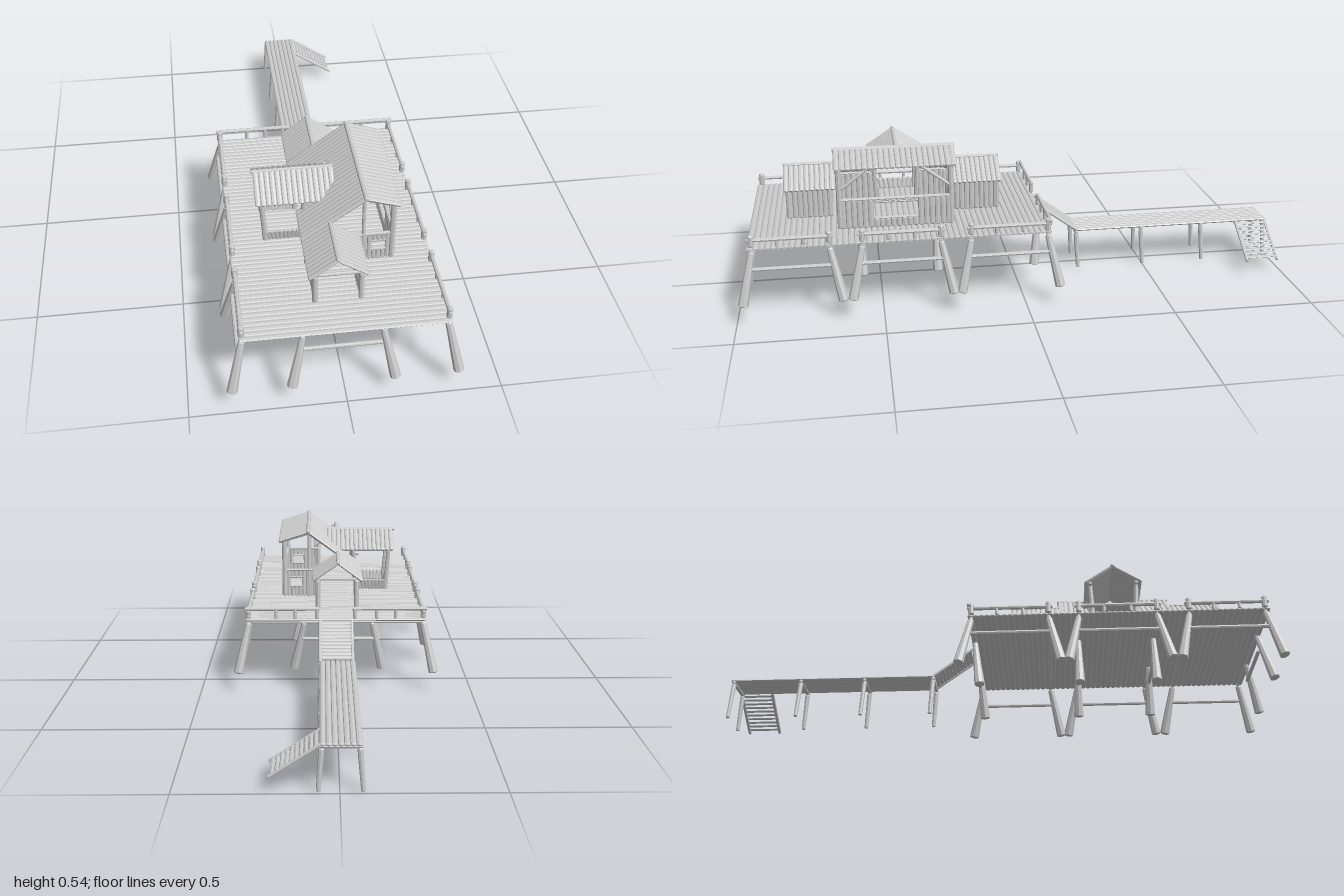
import * as THREE from 'three';
import { mergeGeometries } from 'three/addons/utils/BufferGeometryUtils.js';

const V = (x, y, z) => new THREE.Vector3(x, y, z);
const material = new THREE.MeshStandardMaterial({ color: 0xcccccc, flatShading: true });

// One log from a to b with bevelled ends; `side` and `flat` turn it into a half-round plank
function log(a, b, r0, r1 = r0, side = null, flat = 1) {
  const d = b.clone().sub(a), len = d.length(), tip = Math.min(r0, r1) * 0.35;
  const g = new THREE.LatheGeometry([
    new THREE.Vector2(0, 0), new THREE.Vector2(r0 * 0.7, tip * 0.6), new THREE.Vector2(r0, tip * 1.4),
    new THREE.Vector2(r1, len - tip * 1.4), new THREE.Vector2(r1 * 0.7, len), new THREE.Vector2(0, len),
  ], 8);
  g.scale(1, 1, flat);
  d.normalize();
  const s = side ? side.clone() : (Math.abs(d.y) > 0.9 ? V(1, 0, 0) : V(0, 1, 0));
  const n = s.cross(d).normalize();
  const x = d.clone().cross(n);
  g.applyMatrix4(new THREE.Matrix4().makeBasis(x, d, n).setPosition(a));
  return g;
}

// A row of n planks lying along u, laid side by side from p across v
function planks(p, u, v, n, flat = 0.6) {
  const out = [];
  for (let i = 0; i < n; i++) {
    const a = p.clone().addScaledVector(v, (i + 0.5) / n);
    out.push(log(a, a.clone().add(u), v.length() / n * 0.53, undefined, v, flat));
  }
  return out;
}

// Upright plank wall from a to b (at floor level); win = [start, end, sill, head]
function wall(a, b, top, n, win) {
  const out = [], d = b.clone().sub(a), step = d.clone().divideScalar(n);
  for (let i = 0; i < n; i++) {
    const p = a.clone().addScaledVector(step, i), t = (i + 0.5) / n;
    const spans = win && t > win[0] && t < win[1] ? [[a.y, win[2]], [win[3], top]] : [[a.y, top]];
    for (const [y0, y1] of spans) out.push(...planks(V(p.x, y0, p.z), V(0, y1 - y0, 0), step, 1));
  }
  out.push(log(V(a.x, top, a.z), V(b.x, top, b.z), 0.006));
  if (win) for (const y of [win[2], win[3]])
    out.push(log(a.clone().lerp(b, win[0]).setY(y), a.clone().lerp(b, win[1]).setY(y), 0.005));
  return out;
}

export function createModel() {
  const model = new THREE.Group();
  const part = (name, list) => {
    const mesh = new THREE.Mesh(mergeGeometries(list), material);
    mesh.name = name;
    model.add(mesh);
  };
  const F = 0.265; // floor level

  // Main platform and its joists
  part('deck', planks(V(-0.332, 0.261, -0.092), V(0.664, 0, 0), V(0, 0, 1.044), 52, 0.5));
  const bays = [[-0.08, 0.19], [0.295, 0.565], [0.675, 0.935]];
  const legs = [], braces = [], rails = [], joists = [];
  for (const bay of bays) {
    bay.forEach((z, i) => {
      const out = i ? 0.04 : -0.04;
      joists.push(log(V(-0.33, 0.252, z), V(0.33, 0.252, z), 0.006));
      for (const s of [-1, 1])
        legs.push(log(V(s * 0.362, 0.064, z + out), V(s * 0.322, 0.25, z), 0.018, 0.011));
    });
    for (const s of [-1, 1]) {
      braces.push(log(V(s * 0.335, 0.19, bay[0] - 0.015), V(s * 0.335, 0.19, bay[1] + 0.015), 0.007));
      // Side railings
      rails.push(log(V(s * 0.323, 0.292, bay[0] - 0.015), V(s * 0.323, 0.292, bay[1] + 0.015), 0.007));
      for (const t of [0, 0.33, 0.67, 1])
        rails.push(log(V(s * 0.323, F, bay[0] + t * (bay[1] - bay[0])),
          V(s * 0.323, t % 1 ? 0.292 : 0.31, bay[0] + t * (bay[1] - bay[0])), t % 1 ? 0.006 : 0.01));
    }
  }
  // Inner legs with a tie beam across each row
  for (const [z, dz] of [[0.935, 0.04], [0.565, 0], [0.295, 0], [-0.08, 0.02]]) {
    for (const s of [-1, 1])
      legs.push(log(V(s * 0.165 - 0.008, 0.064, z + dz), V(s * 0.125 - 0.008, 0.25, z), 0.018, 0.01));
    braces.push(log(V(-0.14, 0.187, z), V(0.125, 0.187, z), 0.007));
  }
  // Back railing on both sides of the ramp
  for (const s of [-1, 1]) {
    rails.push(log(V(s * 0.337, 0.304, -0.088), V(s * 0.06, 0.304, -0.088), 0.007));
    for (const x of [0.07, 0.15, 0.22]) rails.push(log(V(s * x, F, -0.088), V(s * x, 0.304, -0.088), 0.007));
  }
  part('platformLegs', legs);
  part('legBraces', braces);
  part('joists', joists);
  part('railings', rails);

  // Ramp down to the jetty
  const ramp = planks(V(-0.055, 0.258, -0.1), V(0.11, 0, 0), V(0, -0.1, -0.135), 11, 0.4);
  for (const x of [-0.058, 0.058]) ramp.push(log(V(x, 0.262, -0.09), V(x, 0.15, -0.245), 0.006));
  part('ramp', ramp);

  // Jetty
  part('jettyDeck', planks(V(-0.067, 0.15, -0.992), V(0, 0, 0.757), V(0.126, 0, 0), 7, 0.6));
  const jetty = [];
  for (const z of [-0.24, -0.493, -0.73, -0.98]) {
    jetty.push(log(V(-0.07, 0.142, z), V(0.064, 0.142, z), 0.007));
    for (const s of [-1, 1])
      jetty.push(log(V(s * 0.067 - 0.003, 0, z - 0.008), V(s * 0.057 - 0.003, 0.137, z), 0.007, 0.009));
  }
  part('jettyPosts', jetty);

  // Side stair at the end of the jetty
  const stair = [];
  for (const z of [-0.868, -0.985]) stair.push(log(V(0.055, 0.15, z), V(0.213, 0.046, z), 0.006));
  for (let i = 0; i < 10; i++) {
    const x = 0.07 + i * 0.0145, y = 0.142 - i * 0.0095;
    stair.push(log(V(x, y, -0.985), V(x, y, -0.868), 0.006, 0.006, V(1, -0.2, 0), 0.5));
  }
  part('jettyStair', stair);

  // Front and back annexes: plank side walls under a small gable, open at the ends
  const slopeY = (x) => 0.525 + (x - 0.105) * 0.737; // long left roof slope
  for (const [name, z0, z1, end] of [['front', 0.65, 0.83, 0.815], ['back', 0.05, 0.23, 0.065]]) {
    const w = [];
    for (const x of [-0.08, 0.067]) {
      w.push(...wall(V(x, F, z0 + 0.01), V(x, F, z1 - 0.01), 0.372, 9,
        name === 'back' && x < 0 ? [0.35, 0.65, 0.31, 0.345] : null));
      w.push(log(V(x, F, end), V(x, 0.375, end), 0.009));
    }
    w.push(log(V(-0.09, 0.378, end), V(0.08, 0.378, end), 0.006));
    part(name + 'AnnexWalls', w);
    const ridge = slopeY(-0.01), dz = V(0, 0, z1 - z0);
    const roof = [
      ...planks(V(-0.01, ridge, z0), V(-0.092, slopeY(-0.102) - ridge, 0), dz, 10),
      ...planks(V(-0.01, ridge, z0), V(0.097, -0.066, 0), dz, 10),
      log(V(-0.01, ridge + 0.003, z0 - 0.002), V(-0.01, ridge + 0.003, z1 + 0.002), 0.007),
    ];
    part(name + 'AnnexRoof', roof);
  }

  // Main house walls
  const house = [
    ...wall(V(0.2, F, 0.245), V(0.2, F, 0.635), 0.372, 20, [0.3, 0.7, 0.3, 0.36]),
    ...wall(V(-0.083, F, 0.245), V(-0.083, F, 0.345), 0.375, 5),
    ...wall(V(-0.083, F, 0.51), V(-0.083, F, 0.635), 0.375, 6),
  ];
  for (const z of [0.245, 0.635]) {
    house.push(...wall(V(0.07, F, z), V(0.205, F, z), 0.37, 9, [0.42, 0.8, 0.305, 0.342]));
    house.push(log(V(0.198, F, z), V(0.198, 0.488, z), 0.01));
    house.push(log(V(0.102, F, z), V(0.102, 0.52, z), 0.006));
    house.push(log(V(-0.083, F, z), V(-0.083, 0.378, z), 0.009));
    house.push(log(V(0.067, F, z), V(0.067, 0.375, z), 0.009));
  }
  // Eave beam and corner braces on the open side
  house.push(log(V(0.198, 0.487, 0.235), V(0.198, 0.487, 0.645), 0.007));
  for (const s of [-1, 1]) house.push(log(V(0.198, 0.41, 0.44 + s * 0.19), V(0.198, 0.485, 0.44 + s * 0.09), 0.006));
  part('houseWalls', house);

  // Main house roof: long left slope, cut short where the porch roof joins
  const mainRoof = planks(V(0.105, 0.525, 0.225), V(0.115, -0.037, 0), V(0, 0, 0.425), 22);
  for (let i = 0; i < 22; i++) {
    const z = 0.225 + i * 0.425 / 22, x = z > 0.335 && z < 0.495 ? 0.02 : -0.102;
    mainRoof.push(...planks(V(0.105, 0.525, z), V(x - 0.105, slopeY(x) - 0.525, 0), V(0, 0, 0.425 / 22), 1));
  }
  mainRoof.push(log(V(0.105, 0.527, 0.222), V(0.105, 0.527, 0.653), 0.008));
  for (const z of [0.24, 0.64]) {
    mainRoof.push(log(V(0.1, 0.522, z), V(0.22, 0.486, z), 0.008));
    mainRoof.push(log(V(0.11, 0.526, z), V(-0.102, slopeY(-0.102), z), 0.008));
  }
  part('houseRoof', mainRoof);

  // Side porch: leaning posts, flared fence and a gable roof running across
  const porch = [], porchRoof = [];
  for (const s of [-1, 1]) {
    const z = 0.425 + s * 0.075;
    porch.push(log(V(-0.205, F, z), V(-0.217, 0.43, z + s * 0.008), 0.01, 0.008));
    porch.push(log(V(-0.09, F, z), V(-0.075, 0.43, z + s * 0.008), 0.01, 0.008));
    porch.push(log(V(-0.235, 0.43, z + s * 0.008), V(0, 0.43, z + s * 0.008), 0.007));
    for (let i = 0; i < 8; i++) {
      const t = i / 7 - 0.5;
      porch.push(log(V(-0.147 + t * 0.085, F, z), V(-0.147 + t * 0.108, 0.306, z + s * 0.008), 0.007, 0.008, V(1, 0, 0), 0.5));
    }
    // Roof planks shorten toward the eave where they meet the house slope
    for (let i = 0; i < 15; i++) {
      const x = -0.237 + i * 0.0178, low = Math.max(0.432, slopeY(x + 0.009) - 0.01);
      const k = (0.498 - low) / 0.066;
      if (k > 0.08)
        porchRoof.push(...planks(V(x, 0.498, 0.425), V(0, -0.066 * k, s * 0.102 * k), V(0.0178, 0, 0), 1));
    }
    porchRoof.push(log(V(-0.23, 0.497, 0.425), V(-0.23, 0.432, 0.425 + s * 0.1), 0.006));
  }
  for (let i = 0; i < 9; i++) {
    const t = i / 8 - 0.5;
    porch.push(log(V(-0.205, F, 0.425 + t * 0.13), V(-0.213, 0.306, 0.425 + t * 0.155), 0.008, 0.009, V(0, 0, 1), 0.5));
  }
  porchRoof.push(log(V(-0.244, 0.498, 0.425), V(0.03, 0.498, 0.425), 0.007));
  part('porch', porch);
  part('porchRoof', porchRoof);

  return model;
}
